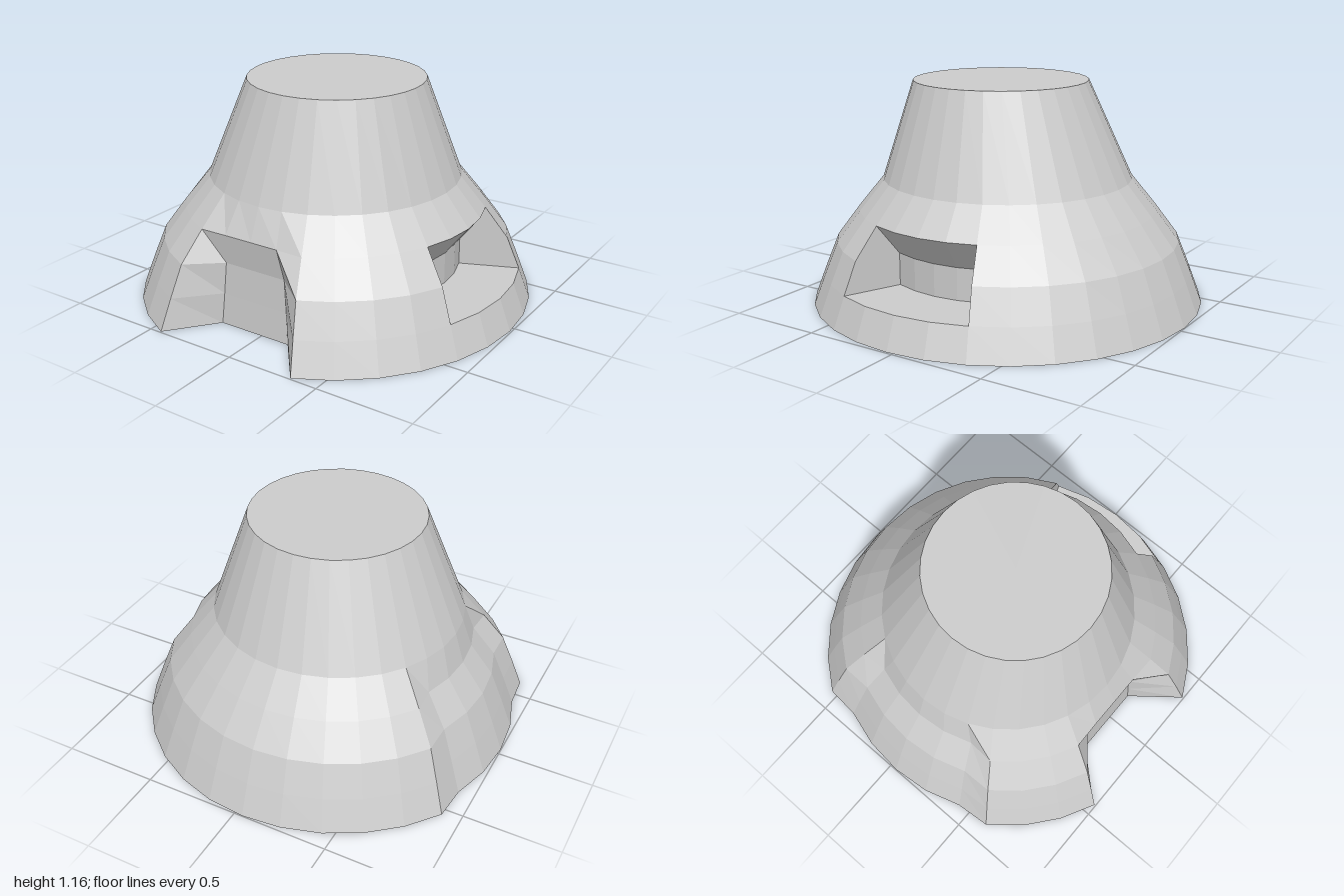
import * as THREE from 'three';

const SIDES = 32;
// height, radius, centre x, centre z of every ring
const RINGS = [
  [0, 1.035, -0.043, 0.037],
  [0.163, 0.973, -0.043, 0.037],
  [0.33, 0.905, -0.043, 0.037],
  [0.49, 0.785, -0.043, 0.037],
  [0.65, 0.655, -0.043, 0.037],
  [1.16, 0.455, -0.017, 0.062],
];
const NOTCH_Z = [0.752, 0.742, 0.735, 0.76];
const SLOT_RADIUS = 0.66;
const TOP = RINGS.length - 1;

function ringPoint(row, col, radius = RINGS[row][1]) {
  const [y, , cx, cz] = RINGS[row];
  const a = (col / SIDES) * Math.PI * 2;
  return new THREE.Vector3(cx + radius * Math.cos(a), y, cz + radius * Math.sin(a));
}

// Ring point with the front notch and the pushed-in left-hand panel applied
function bodyPoint(row, col) {
  const c = (col + SIDES) % SIDES;
  const p = ringPoint(row, c);
  if (row <= 3) {
    if (Math.abs(c - 8) <= 1) p.z = NOTCH_Z[row];
    if (Math.abs(c - 16) <= 2) p.x += 0.08;
  }
  return p;
}

// Undercut wall of the side slot; its upper edge meets the body
const slotPoint = (row, col) => (row === 3 ? ringPoint(3, col) : ringPoint(row, col, SLOT_RADIUS));

function flatMesh(name, faces) {
  const pos = [];
  for (const f of faces)
    for (let i = 1; i < f.length - 1; i++)
      for (const p of [f[0], f[i], f[i + 1]]) pos.push(p.x, p.y, p.z);
  const geo = new THREE.BufferGeometry();
  geo.setAttribute('position', new THREE.Float32BufferAttribute(pos, 3));
  geo.computeVertexNormals();
  const mesh = new THREE.Mesh(geo, new THREE.MeshStandardMaterial({ color: 0xcccccc, flatShading: true }));
  mesh.name = name;
  return mesh;
}

const patch = (fn, row, col) => [fn(row, col), fn(row + 1, col), fn(row + 1, col + 1), fn(row, col + 1)];

export function createModel() {
  const group = new THREE.Group();
  group.name = 'taperedMound';
  const body = [], top = [], base = [], slot = [];

  // Stepped outer shell, left open where the slot is cut, and the two end caps
  const topCentre = new THREE.Vector3(RINGS[TOP][2], RINGS[TOP][0], RINGS[TOP][3]);
  const baseCentre = new THREE.Vector3(RINGS[0][2], 0, RINGS[0][3]);
  for (let col = -2; col < SIDES - 2; col++) {
    for (let row = 0; row < TOP; row++) {
      const cut = col < 2 && (row === 1 || row === 2);
      if (!cut) body.push(patch(bodyPoint, row, col));
    }
    top.push([topCentre, bodyPoint(TOP, col + 1), bodyPoint(TOP, col)]);
    base.push([baseCentre, bodyPoint(0, col), bodyPoint(0, col + 1)]);
  }

  // Slot: ledge, back wall and overhang
  for (let col = -2; col < 2; col++) {
    slot.push([ringPoint(1, col), slotPoint(1, col), slotPoint(1, col + 1), ringPoint(1, col + 1)]);
    slot.push(patch(slotPoint, 1, col), patch(slotPoint, 2, col));
  }
  // Slot end walls
  for (const col of [-2, 2]) {
    const wall = [slotPoint(1, col), ringPoint(1, col), ringPoint(2, col), ringPoint(3, col), slotPoint(2, col)];
    // fan from the lower inner corner
    slot.push(col < 0 ? wall : wall.reverse());
  }

  group.add(
    flatMesh('outerShell', body),
    flatMesh('topCap', top),
    flatMesh('baseCap', base),
    flatMesh('sideSlot', slot),
  );
  return group;
}
